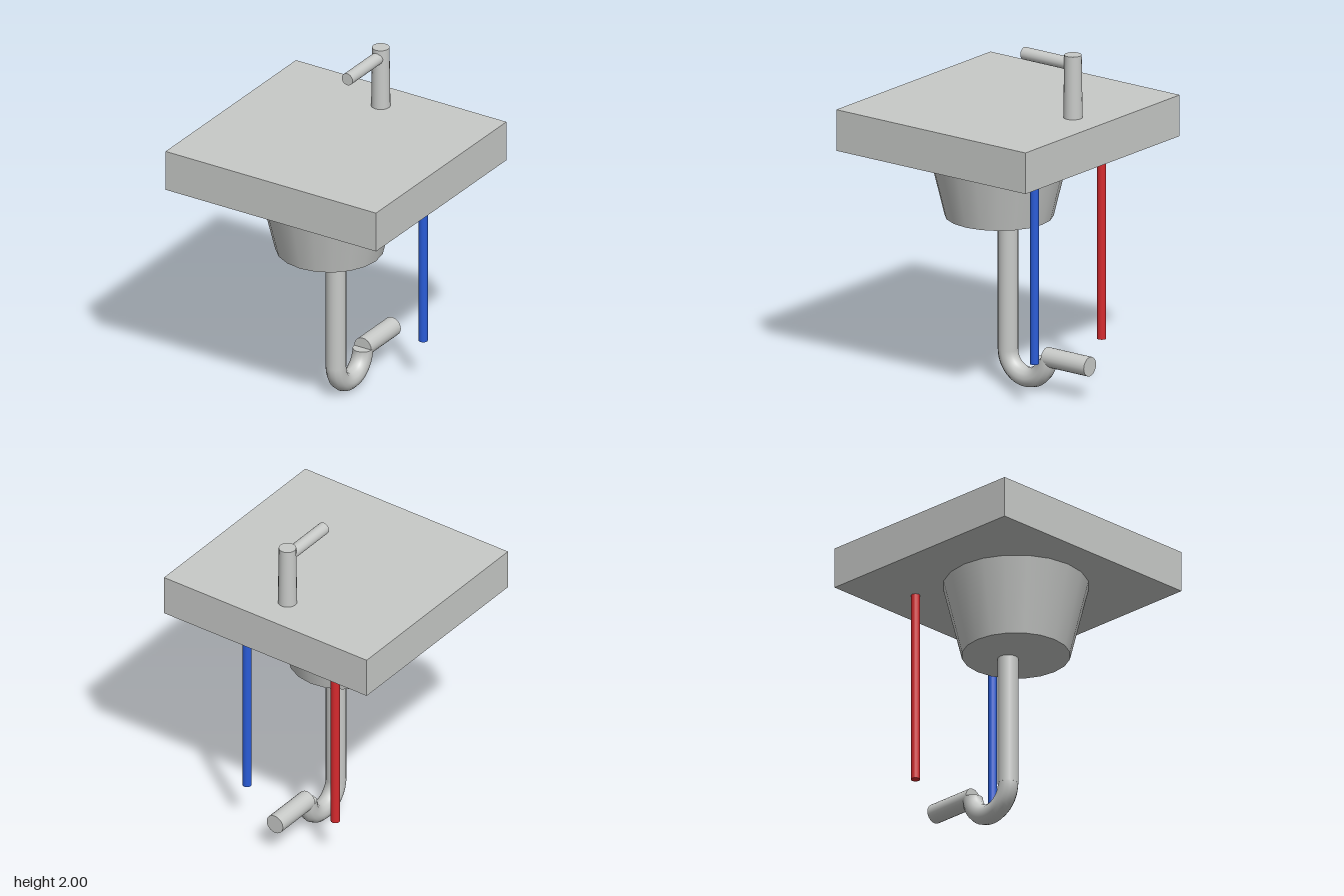
import * as THREE from 'three';

export function createModel() {
  const model = new THREE.Group();
  model.name = 'washbasin';

  const paint = (name, color) => {
    const m = new THREE.MeshStandardMaterial({ color });
    m.name = name;
    return m;
  };
  const ceramic = paint('light grey', 0xc8cac8);
  const red = paint('hot red', 0xd62a2e);
  const blue = paint('cold blue', 0x2a5cd8);

  const add = (name, geometry, material, x, y, z) => {
    const mesh = new THREE.Mesh(geometry, material);
    mesh.name = name;
    mesh.position.set(x, y, z);
    model.add(mesh);
    return mesh;
  };
  // Upright round part between two heights
  const upright = (name, rTop, rBottom, y0, y1, x, z, material, sides = 20) =>
    add(name, new THREE.CylinderGeometry(rTop, rBottom, y1 - y0, sides), material, x, (y0 + y1) / 2, z);
  // Round part lying along z
  const lying = (name, r, z0, z1, y) =>
    add(name, new THREE.CylinderGeometry(r, r, z1 - z0, 20).rotateX(Math.PI / 2), ceramic, 0, y, (z0 + z1) / 2);

  // Countertop and the tapered bowl beneath it
  add('countertop', new THREE.BoxGeometry(1.4, 0.24, 1.34), ceramic, 0, 1.515, 0);
  upright('bowl', 0.41, 0.305, 0.965, 1.396, 0, 0.063, ceramic);

  // Tap
  upright('tapPost', 0.049, 0.054, 1.634, 2, 0, -0.46, ceramic);
  lying('tapSpout', 0.036, -0.45, -0.115, 1.944);

  // Supply pipes
  upright('hotPipe', 0.026, 0.026, 0.262, 1.396, -0.305, -0.425, red, 16);
  upright('coldPipe', 0.026, 0.026, 0.262, 1.396, 0.305, -0.425, blue, 16);

  // Drain with its U-bend and outlet
  const bendY = 0.196, bendR = 0.138, pipeR = 0.058;
  upright('drainPipe', pipeR, pipeR, bendY, 0.966, 0, 0, ceramic);
  const bend = new THREE.TorusGeometry(bendR, pipeR, 12, 32, Math.PI).rotateZ(Math.PI).rotateY(Math.PI / 2);
  add('drainBend', bend, ceramic, 0, bendY, -bendR);
  add('bendCap', new THREE.CircleGeometry(pipeR, 12).rotateX(-Math.PI / 2), ceramic, 0, bendY, -2 * bendR);
  lying('drainOutlet', 0.056, -0.58, -0.275, 0.2);

  return model;
}
